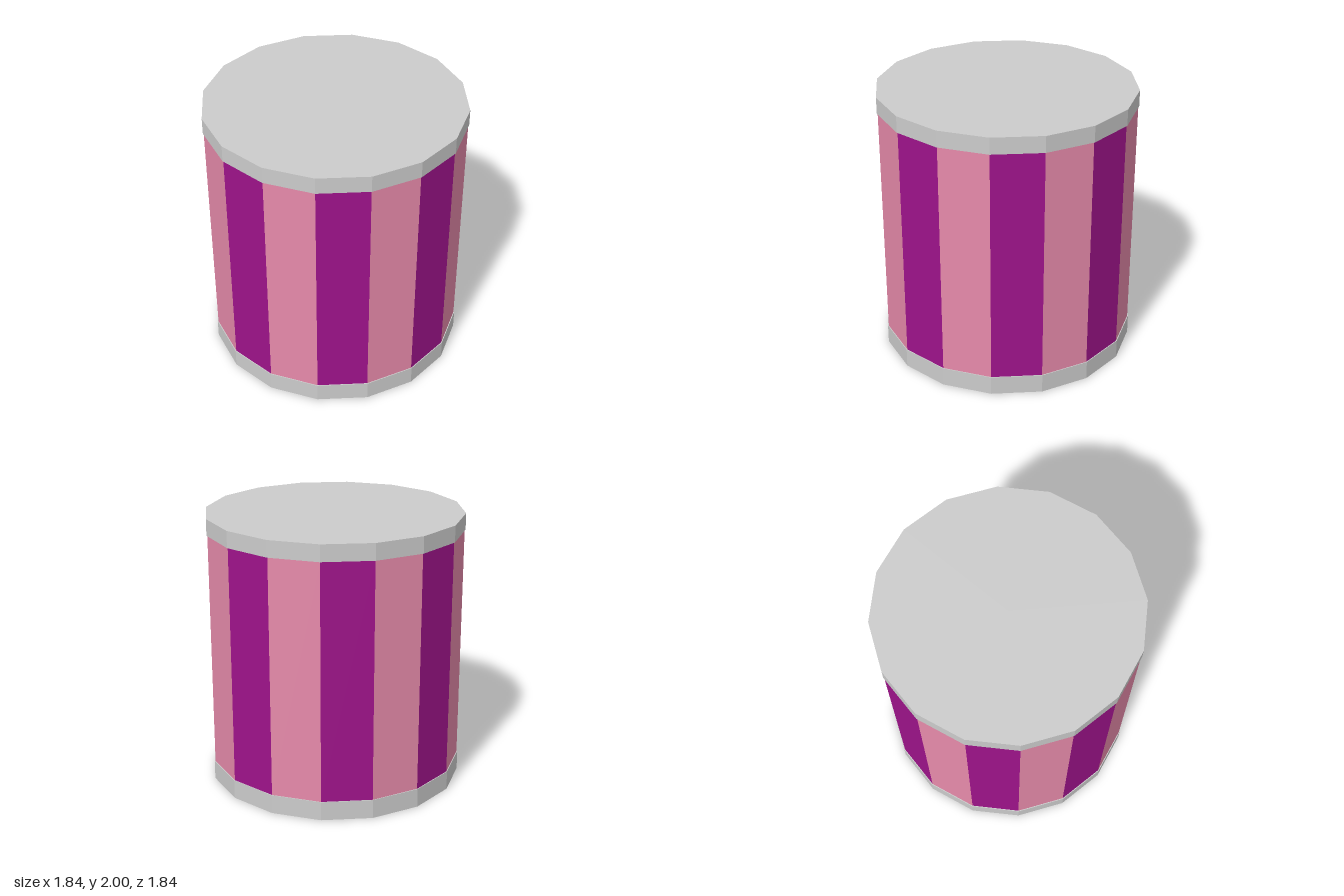
import * as THREE from 'three';

const SIDES = 16;
const STEP = (Math.PI * 2) / SIDES;
const CAP_RADIUS = 0.92 / Math.cos(STEP / 2);
const BODY_RADIUS = 0.914 / Math.cos(STEP / 2);
const BODY_BOTTOM = 0.14;
const BODY_TOP = 1.88;

function material(color) {
  return new THREE.MeshStandardMaterial({ color, flatShading: true });
}

export function createModel() {
  const model = new THREE.Group();
  model.name = 'stripedDrum';

  // Grey rims closing the drum at both ends
  const grey = material(0xcccccc);
  function addCap(name, y0, y1) {
    const geometry = new THREE.CylinderGeometry(
      CAP_RADIUS, CAP_RADIUS, y1 - y0, SIDES, 1, false, -STEP / 2);
    const cap = new THREE.Mesh(geometry, grey);
    cap.name = name;
    cap.position.y = (y0 + y1) / 2;
    model.add(cap);
  }
  addCap('bottomCap', 0, BODY_BOTTOM);
  addCap('topCap', BODY_TOP, 2);

  // Flat side panels in alternating colours, a pink one facing front
  const body = new THREE.Group();
  body.name = 'body';
  const pink = material(0xe68aaa);
  const purple = material(0x9e138a);
  const panelGeometry = new THREE.CylinderGeometry(
    BODY_RADIUS, BODY_RADIUS, BODY_TOP - BODY_BOTTOM, 1, 1, true, -STEP / 2, STEP);
  for (let i = 0; i < SIDES; i++) {
    const panel = new THREE.Mesh(panelGeometry, i % 2 ? purple : pink);
    panel.name = i % 2 ? 'purplePanel' : 'pinkPanel';
    panel.position.y = (BODY_BOTTOM + BODY_TOP) / 2;
    panel.rotation.y = i * STEP;
    body.add(panel);
  }
  model.add(body);

  return model;
}
